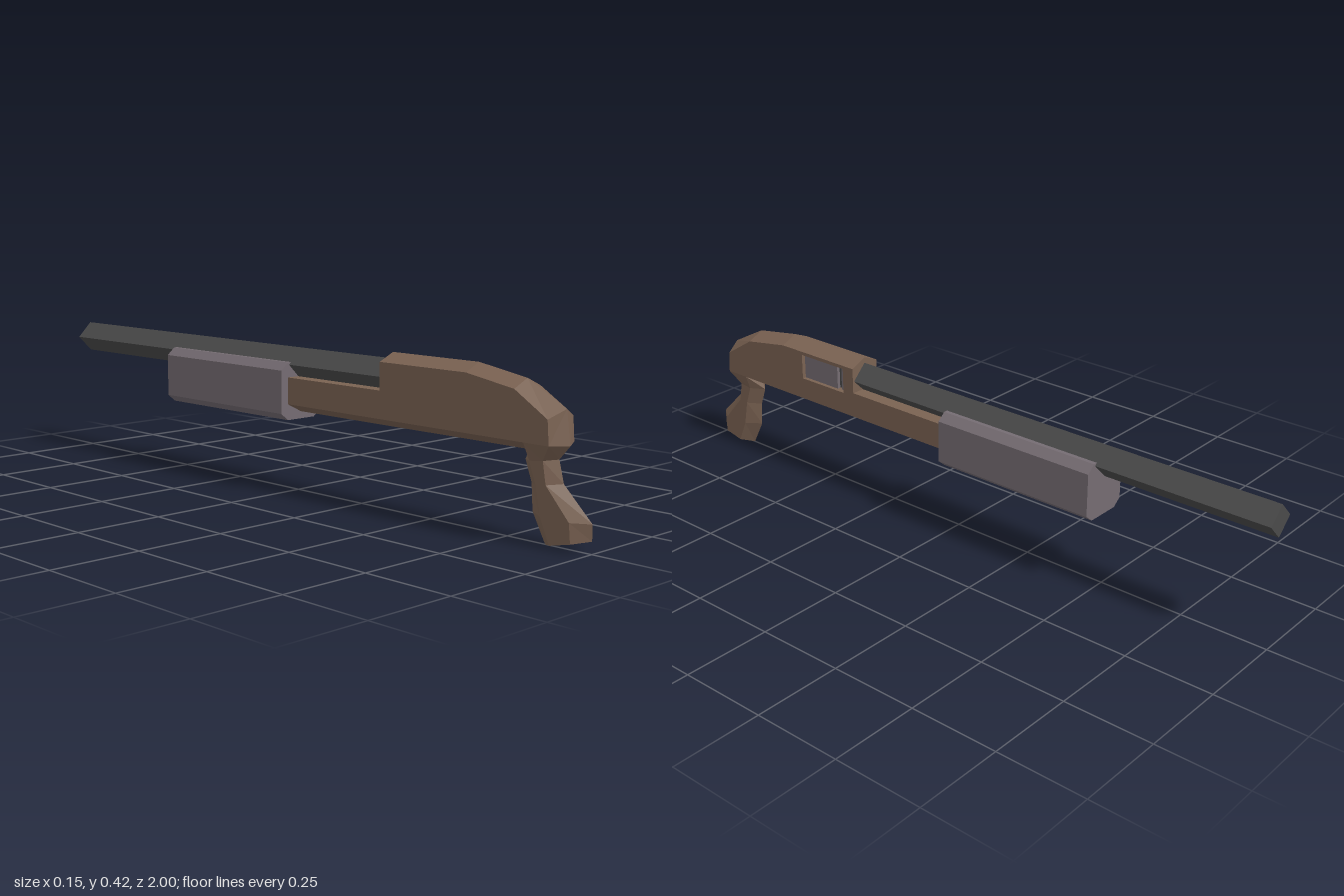
import * as THREE from 'three';

const paint = (color) => new THREE.MeshStandardMaterial({ color, flatShading: true });

// Collects quads (a, b, c, d counter-clockwise from outside) into a flat geometry
function quadGeometry(quads) {
  const pos = [];
  for (const [a, b, c, d] of quads) pos.push(...a, ...b, ...c, ...a, ...c, ...d);
  const g = new THREE.BufferGeometry();
  g.setAttribute('position', new THREE.Float32BufferAttribute(pos, 3));
  g.computeVertexNormals();
  return g;
}

// Closed polygon in x,y extruded from z0 to z1
function prism(points, z0, z1) {
  const shape = new THREE.Shape(points.map(([x, y]) => new THREE.Vector2(x, y)));
  return new THREE.ExtrudeGeometry(shape, { depth: z1 - z0, bevelEnabled: false }).translate(0, 0, z0);
}

export function createModel() {
  const model = new THREE.Group();
  const wood = paint(0x7a6252), steel = paint(0x4a4a4a), grey = paint(0x756c72);
  const add = (name, geometry, material, parent = model) => {
    const m = new THREE.Mesh(geometry, material);
    m.name = name;
    parent.add(m);
    return m;
  };

  // Receiver outline: side edge z, y, then centre ridge z, y
  const half = 0.05;
  const outline = [
    [0, 0.25, 0, 0.225], [0, 0.325, 0, 0.325], [0.36, 0.325, 0.36, 0.325],
    [0.36, 0.4, 0.36, 0.422], [0.65, 0.4, 0.65, 0.422], [0.8, 0.375, 0.8, 0.397],
    [0.9, 0.313, 0.918, 0.335], [0.905, 0.25, 0.93, 0.247], [0.83, 0.25, 0.81, 0.225],
  ];
  const port = [[0.4, 0.315], [0.57, 0.315], [0.57, 0.39], [0.4, 0.39]];
  const receiver = new THREE.Group();
  receiver.name = 'receiver';
  model.add(receiver);

  // Bevelled rim from each side edge to the centre ridge
  const rim = [];
  outline.forEach((p, i) => {
    const q = outline[(i + 1) % outline.length];
    for (const s of [1, -1]) {
      const quad = [
        [s * half, p[1], p[0]], [0, p[3], p[2]], [0, q[3], q[2]], [s * half, q[1], q[0]],
      ];
      rim.push(s > 0 ? quad : quad.reverse());
    }
  });
  add('receiverRim', quadGeometry(rim), wood, receiver);

  // Flat side walls, the left one cut open for the ejection port
  for (const s of [1, -1]) {
    const to2D = (p) => new THREE.Vector2(-s * p[0], p[1]);
    const shape = new THREE.Shape(outline.map(to2D));
    if (s > 0) shape.holes.push(new THREE.Path(port.map(to2D)));
    const wall = new THREE.ShapeGeometry(shape).rotateY(s * Math.PI / 2).translate(s * half, 0, 0);
    add(s > 0 ? 'leftWall' : 'rightWall', wall, wood, receiver);
  }

  // Port recess walls and the bolt inside
  const floor = 0.025;
  const recess = port.map((p, i) => {
    const q = port[(i + 1) % 4];
    return [[half, p[1], p[0]], [floor, p[1], p[0]], [floor, q[1], q[0]], [half, q[1], q[0]]];
  });
  const lining = wood.clone();
  lining.side = THREE.DoubleSide;
  add('portLining', quadGeometry(recess), lining, receiver);
  const slab = (z0, z1, x) =>
    new THREE.BoxGeometry(0.01, 0.075, z1 - z0).translate(x - 0.005, 0.3525, (z0 + z1) / 2);
  add('bolt', slab(0.435, 0.57, 0.038), grey, receiver);
  add('boltFace', slab(0.4, 0.422, 0.034), grey, receiver);
  add('boltGap', slab(0.4, 0.57, 0.026), steel, receiver);

  // Grip rows: rear ridge z, y; rear side z; front side z; front ridge z, y; half width
  const rows = [
    [0.93, 0.247, 0.905, 0.83, 0.81, 0.225, 0.05],
    [0.9, 0.212, 0.875, 0.835, 0.8, 0.2, 0.031],
    [0.915, 0.155, 0.885, 0.855, 0.82, 0.145, 0.031],
    [1, 0.072, 0.955, 0.87, 0.825, 0.075, 0.031],
    [1, 0.031, 0.96, 0.9, 0.865, 0, 0.031],
  ].map(([zr, yr, zs, zt, zf, yf, w], i) => {
    const y = (z) => (i === 0 ? 0.25 : yf + (yr - yf) * (z - zf) / (zr - zf));
    return [[0, yr, zr], [w, y(zs), zs], [w, y(zt), zt], [0, yf, zf], [-w, y(zt), zt], [-w, y(zs), zs]];
  });
  const skin = [];
  for (let r = 0; r < rows.length - 1; r++) {
    for (let i = 0; i < 6; i++) {
      const j = (i + 1) % 6;
      skin.push([rows[r][i], rows[r + 1][i], rows[r + 1][j], rows[r][j]]);
    }
  }
  const b = rows[rows.length - 1];
  skin.push([b[3], b[2], b[1], b[0]], [b[0], b[5], b[4], b[3]]);
  add('grip', quadGeometry(skin), wood);

  // Diamond-section barrel
  const r = 0.045, cy = 0.36;
  add('barrel', prism([[0, cy - r], [r, cy], [0, cy + r], [-r, cy]], -1, 0.38), steel);

  // Sliding fore-end with chamfered edges
  const right = [[0.05, 0.205], [0.074, 0.225], [0.074, 0.346], [0.05, 0.367]];
  const mirrored = right.map(([x, y]) => [-x, y]).reverse();
  add('foreEnd', prism([...right, ...mirrored], -0.495, 0.01), grey);

  return model;
}
